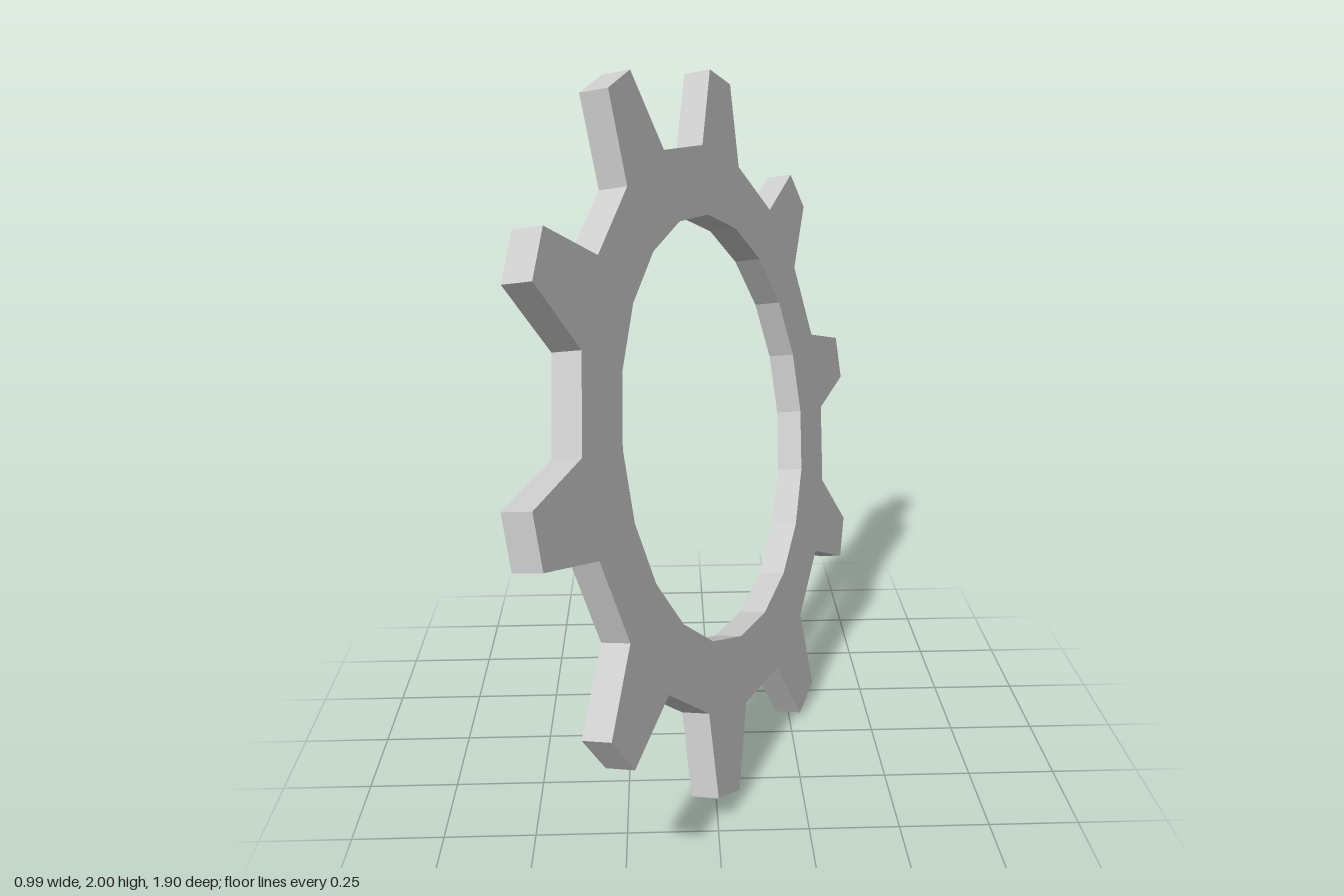
import * as THREE from 'three';

const TEETH = 10;
const HOLE_R = 0.605, ROOT_R = 0.80, TIP_R = 1.029;
const THICKNESS = 0.082;
const DEG = Math.PI / 180;
const PHASE = -2.9 * DEG;      // turn of the ring about its axle
const ROOT_HALF = 9 * DEG;     // half width of a tooth at its root
const TIP_HALF = 3.9 * DEG;    // half width of a tooth at its tip

const polar = (r, a) => new THREE.Vector2(r * Math.cos(a), r * Math.sin(a));

export function createModel() {
  const group = new THREE.Group();
  group.name = 'gear';

  // Toothed outline, and a hole with two sides per tooth
  const outline = [], hole = [];
  for (let i = 0; i < TEETH; i++) {
    const a = PHASE + (i * 2 * Math.PI) / TEETH;
    outline.push(
      polar(ROOT_R, a - ROOT_HALF), polar(TIP_R, a - TIP_HALF),
      polar(TIP_R, a + TIP_HALF), polar(ROOT_R, a + ROOT_HALF)
    );
    hole.push(polar(HOLE_R, a - ROOT_HALF), polar(HOLE_R, a + ROOT_HALF));
  }
  const shape = new THREE.Shape(outline);
  shape.holes.push(new THREE.Path(hole.reverse()));

  const geometry = new THREE.ExtrudeGeometry(shape, { depth: THICKNESS, bevelEnabled: false });
  geometry.translate(0, 0, -THICKNESS / 2);

  // Lean the ring so that its axle points along n
  const n = new THREE.Vector3(1, 0.2, 0.475).normalize();
  const u = new THREE.Vector3(0, 1, 0).cross(n).normalize();
  const v = n.clone().cross(u);
  geometry.applyMatrix4(new THREE.Matrix4().makeBasis(u, v, n));
  geometry.translate(0, 1, 0);

  const ring = new THREE.Mesh(
    geometry,
    new THREE.MeshStandardMaterial({ color: 0xcccccc, flatShading: true })
  );
  ring.name = 'toothedRing';
  group.add(ring);
  return group;
}
